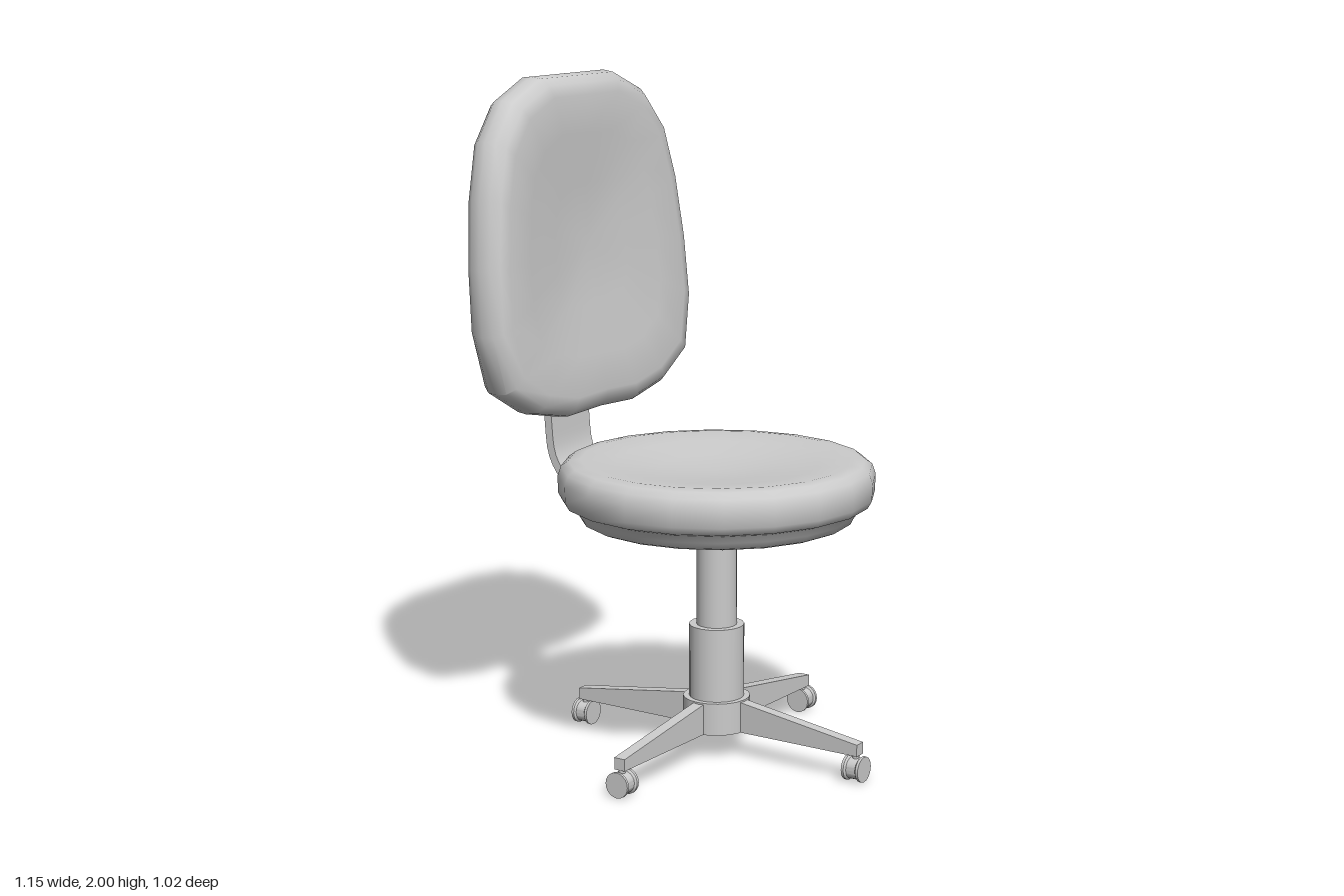
import * as THREE from 'three';
import { toCreasedNormals } from 'three/addons/utils/BufferGeometryUtils.js';

const AXIS_X = 0.063; // column and seat axis
const SIDES = 20;
const grey = new THREE.MeshStandardMaterial({ color: 0xcccccc });

function add(parent, name, geometry, x = 0, y = 0, z = 0) {
  const mesh = new THREE.Mesh(geometry, grey);
  mesh.name = name;
  mesh.position.set(x, y, z);
  parent.add(mesh);
  return mesh;
}

// Closed cushion: an outline scaled ring by ring; rings are [scale, height]
function cushion(outline, rings, place) {
  const positions = [], index = [], n = outline.length;
  for (const [s, h] of rings) for (const [u, v] of outline) positions.push(...place(u * s, v * s, h));
  for (let i = 0; i < rings.length - 1; i++) {
    for (let j = 0; j < n; j++) {
      const k = (j + 1) % n;
      const a = i * n + j, b = i * n + k, c = a + n, d = b + n;
      if (rings[i][0] > 0) index.push(a, b, d);
      if (rings[i + 1][0] > 0) index.push(a, d, c);
      else if (rings[i][0] > 0) index.splice(-3, 3, a, b, c);
    }
  }
  const g = new THREE.BufferGeometry();
  g.setAttribute('position', new THREE.Float32BufferAttribute(positions, 3));
  g.setIndex(index);
  return toCreasedNormals(g, 0.9);
}

function createSeat(group) {
  const circle = Array.from({ length: SIDES }, (_, i) => {
    const a = (i / SIDES) * Math.PI * 2;
    return [Math.cos(a), Math.sin(a)];
  });
  const place = (u, v, h) => [v, h, u];
  add(group, 'seatCushion', cushion(circle, [
    [0, 0.77], [0.43, 0.77], [0.453, 0.778], [0.465, 0.8], [0.467, 0.85],
    [0.457, 0.88], [0.435, 0.896], [0.4, 0.9], [0.3, 0.889], [0.17, 0.873], [0, 0.86],
  ], place), AXIS_X);
  add(group, 'seatPan', cushion(circle, [
    [0, 0.72], [0.385, 0.72], [0.402, 0.727], [0.411, 0.745], [0.43, 0.772], [0, 0.772],
  ], place), AXIS_X);
}

function createBackrest(group) {
  // Half outline as [height from middle, half width], mirrored to the other side
  const half = [
    [0.5, 0], [0.5, 0.18], [0.44, 0.32], [0.33, 0.412], [0.17, 0.458], [-0.03, 0.485],
    [-0.22, 0.492], [-0.39, 0.45], [-0.467, 0.32], [-0.5, 0.165], [-0.494, 0],
  ];
  const outline = [...half, ...half.slice(1, -1).reverse().map(([u, v]) => [u, -v])];
  const place = (u, v, h) => [h - 0.078 * u, 1.5 + u, v]; // leaning back
  add(group, 'backCushion', cushion(outline, [
    [0, -0.492], [0.9, -0.492], [0.96, -0.483], [0.993, -0.46], [1, -0.43],
    [0.99, -0.395], [0.95, -0.37], [0.88, -0.362], [0.65, -0.372], [0.36, -0.389], [0, -0.402],
  ], place));
  add(group, 'backShell', cushion(outline, [
    [0, -0.548], [0.74, -0.548], [0.785, -0.541], [0.81, -0.522], [0.82, -0.488], [0, -0.488],
  ], place));

  // Bent flat bar from under the seat up to the shell
  const curve = new THREE.CatmullRomCurve3([
    [-0.27, 0.748], [-0.34, 0.757], [-0.42, 0.793], [-0.468, 0.86], [-0.483, 0.96], [-0.489, 1.07], [-0.497, 1.16],
  ].map(([x, y]) => new THREE.Vector3(x, y, 0)));
  const side = (offset) => Array.from({ length: 21 }, (_, i) => {
    const p = curve.getPoint(i / 20), t = curve.getTangent(i / 20);
    return new THREE.Vector2(p.x - t.y * offset, p.y + t.x * offset);
  });
  const bar = new THREE.Shape([...side(0.013), ...side(-0.013).reverse()]);
  const g = new THREE.ExtrudeGeometry(bar, { depth: 0.19, bevelEnabled: false });
  add(group, 'backBracket', toCreasedNormals(g, 0.6), 0, 0, -0.095);
}

function createBase(group) {
  const tube = (name, r, y0, y1) =>
    add(group, name, new THREE.CylinderGeometry(r, r, y1 - y0, SIDES), AXIS_X, (y0 + y1) / 2, 0);
  tube('hub', 0.1, 0.083, 0.18);
  tube('columnSleeve', 0.082, 0.17, 0.4);
  tube('columnPost', 0.06, 0.39, 0.725);

  // Tapered leg profile and a flanged caster, repeated four times
  const profile = new THREE.Shape([
    [0.05, 0.083], [0.497, 0.083], [0.497, 0.118], [0.05, 0.182],
  ].map(([x, y]) => new THREE.Vector2(x, y)));
  const legGeo = new THREE.ExtrudeGeometry(profile, { depth: 0.036, bevelEnabled: false });
  legGeo.translate(0, 0, -0.018);
  const casterGeo = toCreasedNormals(new THREE.LatheGeometry([
    [0, -0.028], [0.038, -0.028], [0.038, -0.02], [0.032, -0.015],
    [0.032, 0.015], [0.038, 0.02], [0.038, 0.028], [0, 0.028],
  ].map(([x, y]) => new THREE.Vector2(x, y)), SIDES), 0.5);
  casterGeo.rotateZ(-Math.PI / 2);
  for (let i = 0; i < 4; i++) {
    const arm = new THREE.Group();
    arm.name = 'legWithCaster';
    arm.position.x = AXIS_X;
    arm.rotation.y = (i * Math.PI) / 2;
    add(arm, 'leg', legGeo);
    add(arm, 'caster', casterGeo, 0.484, 0.042, 0);
    add(arm, 'casterStem', new THREE.CylinderGeometry(0.01, 0.01, 0.03, 8), 0.484, 0.08, 0);
    group.add(arm);
  }
}

export function createModel() {
  const chair = new THREE.Group();
  chair.name = 'swivelChair';
  createSeat(chair);
  createBackrest(chair);
  createBase(chair);
  return chair;
}
